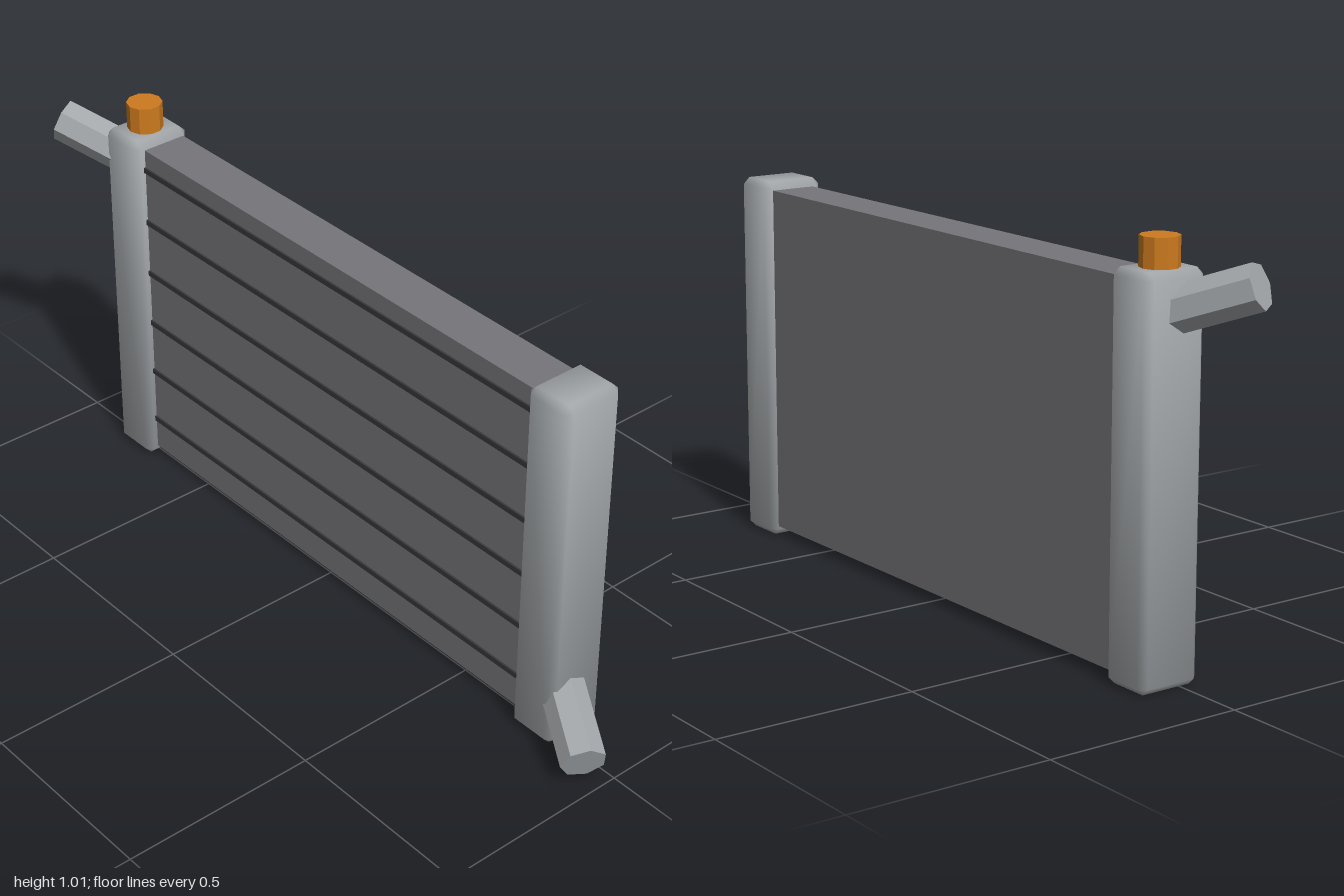
import * as THREE from 'three';
import { ConvexGeometry } from 'three/addons/geometries/ConvexGeometry.js';

const Z = -0.038; // depth centre of tanks and cap

// Chamfered box with soft normals across the narrow bevels
function softBox(w, h, d, bevel) {
  const half = [w / 2, h / 2, d / 2];
  const points = [];
  for (const sx of [-1, 1]) for (const sy of [-1, 1]) for (const sz of [-1, 1]) {
    for (let axis = 0; axis < 3; axis++) {
      const p = [sx, sy, sz].map((s, i) => s * (half[i] - (i === axis ? 0 : bevel)));
      points.push(new THREE.Vector3(...p));
    }
  }
  const geo = new ConvexGeometry(points);
  const pos = geo.attributes.position, n = new THREE.Vector3();
  for (let i = 0; i < pos.count; i++) {
    const p = [pos.getX(i), pos.getY(i), pos.getZ(i)];
    n.set(...p.map((v, k) => Math.sign(v) * (Math.abs(v) > half[k] - bevel / 2 ? 2.8 : 1.1))).normalize();
    geo.attributes.normal.setXYZ(i, n.x, n.y, n.z);
  }
  return geo;
}

export function createModel() {
  const group = new THREE.Group();
  const material = (name, color, flatShading = false) =>
    Object.assign(new THREE.MeshStandardMaterial({ color, flatShading }), { name });
  const metal = material('tank metal', 0xa3a7aa);
  const coreGrey = material('core grey', 0x75757a);
  const finDark = material('fin dark', 0x38383c);
  const capOrange = material('cap orange', 0xcc7a1e);

  const add = (name, geo, mat, x, y, z) => {
    const mesh = new THREE.Mesh(geo, mat);
    mesh.name = name;
    mesh.position.set(x, y, z);
    group.add(mesh);
    return mesh;
  };

  // Flat core between the tanks
  add('core', new THREE.BoxGeometry(1.42, 0.895, 0.12), coreGrey, 0, 0.477, -0.043);

  // Thin dark fins across the front
  for (let i = 0; i < 6; i++) {
    add('fin', new THREE.BoxGeometry(1.4, 0.014, 0.012), finDark, 0, 0.12 + i * 0.15, 0.016);
  }

  // End tanks
  for (const side of [-1, 1]) {
    add(side < 0 ? 'rightTank' : 'leftTank', softBox(0.133, 0.941, 0.165, 0.017), metal, side * 0.765, 0.475, Z);
  }

  // Filler cap
  const cap = new THREE.CylinderGeometry(0.0455, 0.0455, 0.1, 10).toNonIndexed();
  cap.computeVertexNormals();
  add('fillerCap', cap, capOrange, -0.768, 0.965, Z);

  // Angled hose stubs, low on the left and high on the right
  const hose = (name, side, endY) => {
    const dir = new THREE.Vector3(side, -side * 0.4, 0.55).normalize();
    const length = 0.25;
    const end = new THREE.Vector3(side * 0.969, endY, 0.072);
    const mid = end.addScaledVector(dir, -length / 2);
    const geo = new THREE.CylinderGeometry(0.055, 0.055, length, 7, 1, false, Math.PI).toNonIndexed();
    geo.computeVertexNormals();
    add(name, geo, metal, mid.x, mid.y, mid.z)
      .quaternion.setFromUnitVectors(new THREE.Vector3(0, 1, 0), dir);
  };
  hose('lowerHose', 1, 0.07);
  hose('upperHose', -1, 0.922);

  return group;
}
